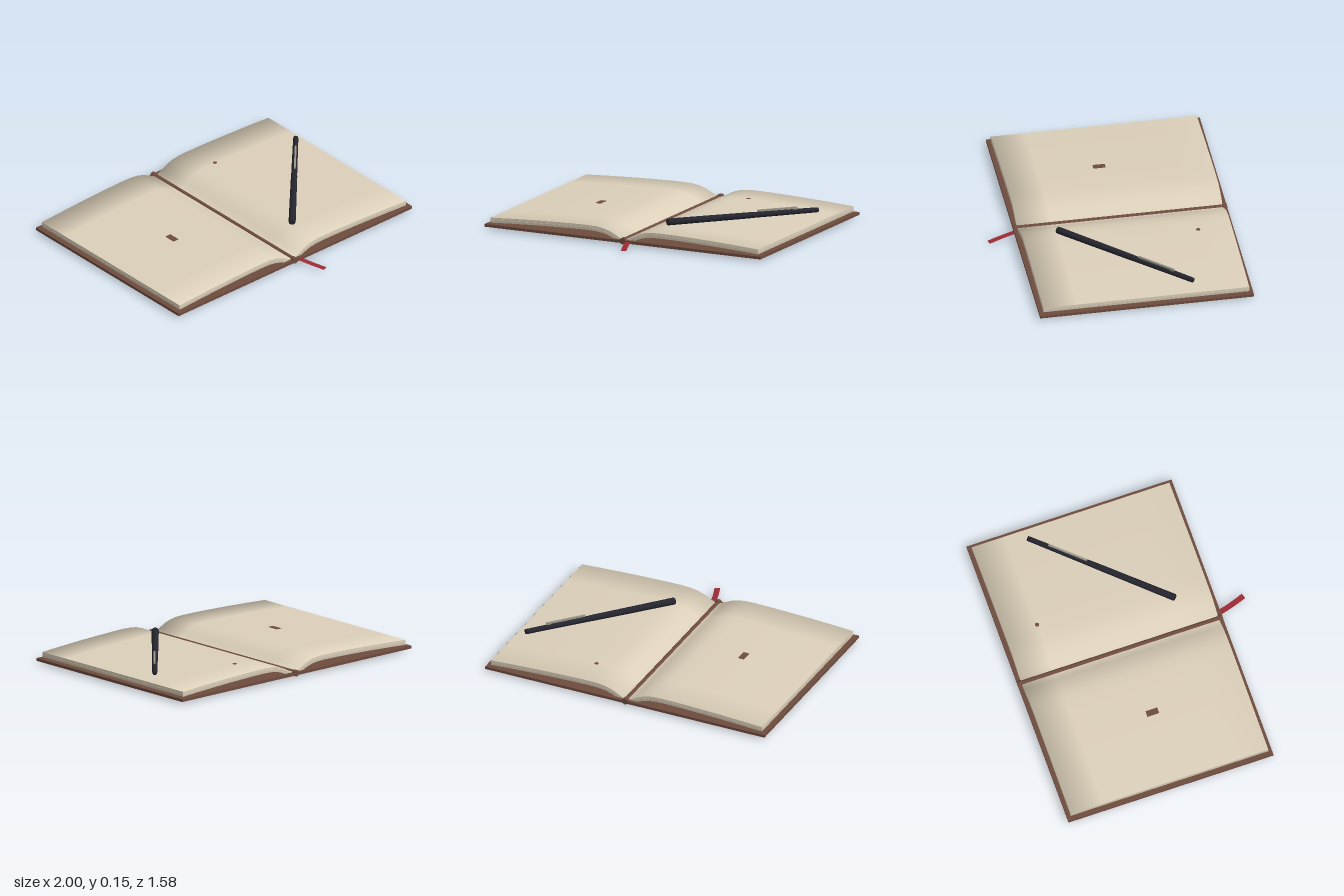
import * as THREE from 'three';
import { mergeGeometries } from 'three/addons/utils/BufferGeometryUtils.js';

const material = (name, color, side = THREE.FrontSide) => {
  const m = new THREE.MeshStandardMaterial({ color, side });
  m.name = name;
  return m;
};

const Z0 = -0.765, Z1 = 0.585; // page length
const ROWS = 6;

// Upper page profile from the spine out to the edge
const HALF = [[0, 0.034], [0.03, 0.04], [0.06, 0.056], [0.1, 0.076], [0.15, 0.092], [0.2, 0.099],
  [0.26, 0.101], [0.36, 0.1], [0.5, 0.096], [0.66, 0.09], [0.82, 0.082], [0.97, 0.073]];
const PROFILE = [...HALF.slice(1).reverse().map(([x, y]) => [-x, y]), ...HALF];

// Sweep a line of [x, y] points along z; soft strips lean their end normals outward
function strip(points, soft) {
  const pos = [], index = [], uv = [], n = points.length;
  for (let r = 0; r <= ROWS; r++) {
    const z = Z0 + (Z1 - Z0) * r / ROWS;
    points.forEach(([x, y], i) => { pos.push(x, y, z); uv.push(i / (n - 1), r / ROWS); });
  }
  for (let r = 0; r < ROWS; r++) {
    for (let i = 0; i < n - 1; i++) {
      const a = r * n + i, b = a + n;
      index.push(a, b, a + 1, a + 1, b, b + 1);
    }
  }
  const g = new THREE.BufferGeometry();
  g.setAttribute('position', new THREE.Float32BufferAttribute(pos, 3));
  g.setAttribute('uv', new THREE.Float32BufferAttribute(uv, 2));
  g.setIndex(index);
  g.computeVertexNormals();
  if (soft) {
    const nor = g.attributes.normal, v = new THREE.Vector3();
    for (let i = 0; i < n; i++) {
      for (const [k, lean] of [[i, -1], [ROWS * n + i, 1]]) {
        v.fromBufferAttribute(nor, k);
        v.z += lean;
        v.normalize();
        nor.setXYZ(k, v.x, v.y, v.z);
      }
    }
  }
  return g;
}

// Closed layer of pages between two depths below the profile
function pageLayer(topDrop, bottomDrop) {
  const top = PROFILE.map(([x, y]) => [x, y - topDrop]);
  const bottom = PROFILE.map(([x, y]) => [x, y - bottomDrop]).reverse();
  const end = top.length - 1;
  const shape = new THREE.Shape([...top, ...bottom].map(([x, y]) => new THREE.Vector2(x, y)));
  const front = new THREE.ShapeGeometry(shape).translate(0, 0, Z1);
  const back = new THREE.ShapeGeometry(shape).rotateY(Math.PI).translate(0, 0, Z0);
  return mergeGeometries([strip(top, true), strip([top[end], bottom[0]]), strip(bottom, true),
    strip([bottom[end], top[0]]), front, back]);
}

export function createModel() {
  const model = new THREE.Group();
  model.name = 'openNotebookWithPen';

  const leather = material('brown leather', 0x6e4c3e);
  const paper = material('cream paper', 0xdcd0ba);
  const edge = material('shaded paper', 0xcfc4ae);
  const red = material('red ribbon', 0x9c2a35, THREE.DoubleSide);
  const ink = material('dark pen', 0x24252e);
  const metal = material('clip metal', 0x9a978c);

  const add = (parent, name, geometry, mat, x = 0, y = 0, z = 0) => {
    const mesh = new THREE.Mesh(geometry, mat);
    mesh.name = name;
    mesh.position.set(x, y, z);
    parent.add(mesh);
    return mesh;
  };

  // Covers, one on each side of the spine gap
  for (const [name, s] of [['leftCover', 1], ['rightCover', -1]]) {
    add(model, name, new THREE.BoxGeometry(0.985, 0.018, 1.4), leather, s * 0.5075, 0.024, -0.09);
  }

  // Spine rod with a thicker band at each end
  add(model, 'spine', new THREE.CylinderGeometry(0.016, 0.016, 1.4, 12).rotateX(Math.PI / 2),
    leather, 0, 0.029, -0.09);
  for (const z of [-0.775, 0.595]) {
    add(model, 'spineBand', new THREE.CylinderGeometry(0.021, 0.021, 0.03, 12).rotateX(Math.PI / 2),
      leather, 0, 0.028, z);
  }

  // Curved pages in two layers
  add(model, 'upperPages', pageLayer(0, 0.016), paper);
  add(model, 'lowerPages', pageLayer(0.017, 0.033), edge);

  // Small brown marks on the pages
  const mark = add(model, 'rightPageMark', new THREE.BoxGeometry(0.04, 0.004, 0.08), leather, -0.49, 0.0965, -0.04);
  mark.rotation.z = 0.035;
  add(model, 'leftPageMark', new THREE.CylinderGeometry(0.014, 0.014, 0.004, 8), leather, 0.32, 0.1, -0.545);

  // Ribbon bookmark, curving sideways and drooping
  const ribbon = new THREE.PlaneGeometry(0.036, 0.29, 1, 8).rotateX(-Math.PI / 2);
  const p = ribbon.attributes.position;
  for (let i = 0; i < p.count; i++) {
    const t = (p.getZ(i) + 0.145) / 0.29;
    const across = p.getX(i);
    p.setXYZ(i, 0.022 + 0.078 * t ** 1.5 + across, 0.035 - 0.024 * t, 0.5 + 0.288 * t - 0.3 * across * t);
  }
  ribbon.computeVertexNormals();
  add(model, 'ribbon', ribbon, red);

  // Pen lying diagonally, built along x
  const pen = new THREE.Group();
  pen.name = 'pen';
  pen.position.set(0.545, 0.12, -0.028);
  pen.rotation.set(0, Math.atan2(0.765, 0.7), -0.004);
  const profile = [[0, -0.52], [0.019, -0.52], [0.023, -0.514], [0.023, -0.48], [0.0205, 0.05],
    [0.0195, 0.06], [0.017, 0.5], [0.016, 0.518], [0, 0.518]];
  const body = new THREE.LatheGeometry(profile.map(([r, y]) => new THREE.Vector2(r, y)), 12);
  add(pen, 'penBody', body.rotateZ(-Math.PI / 2), ink);
  add(pen, 'penClip', new THREE.BoxGeometry(0.27, 0.012, 0.012), metal, 0.237, 0.027, 0.003);
  add(pen, 'clipMount', new THREE.BoxGeometry(0.03, 0.014, 0.012), metal, 0.357, 0.019, 0.003);
  model.add(pen);

  return model;
}
